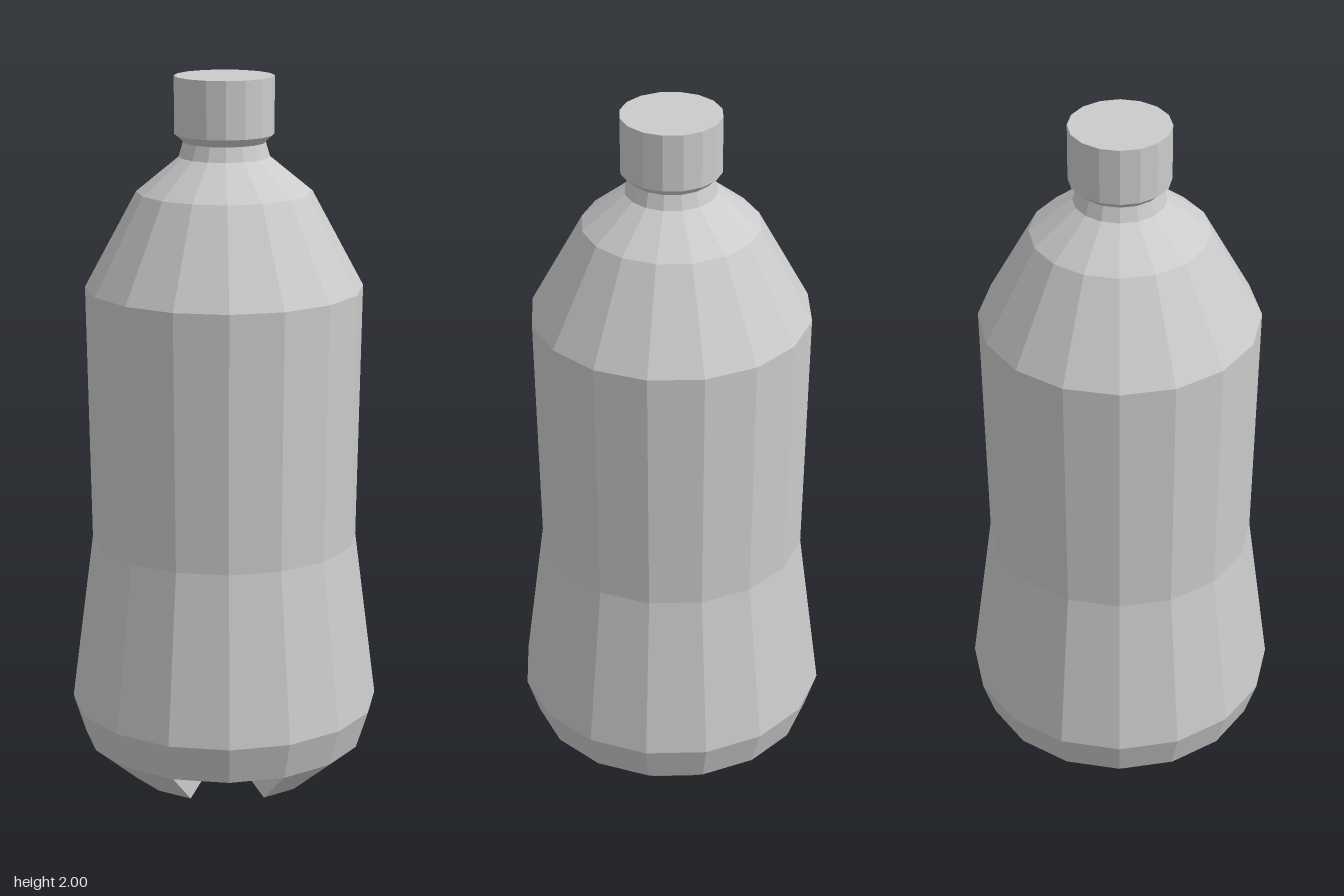
import * as THREE from 'three';

const SIDES = 16;

export function createModel() {
  const group = new THREE.Group();
  const material = new THREE.MeshStandardMaterial({ color: 0xcccccc, flatShading: true });

  const add = (name, geometry) => {
    const mesh = new THREE.Mesh(geometry, material);
    mesh.name = name;
    group.add(mesh);
  };
  const lathe = (profile) =>
    new THREE.LatheGeometry(profile.map(([r, y]) => new THREE.Vector2(r, y)), SIDES);

  // Bottle wall from the top of the feet to the shoulder
  add('body', lathe([[0.4, 0.11], [0.435, 0.22], [0.373, 0.7], [0.385, 1.42], [0.242, 1.685], [0.125, 1.78]]));

  // Tapered neck with a flared collar under the cap
  add('neck', lathe([[0.125, 1.78], [0.113, 1.82], [0.127, 1.834]]));

  // Closed screw cap with a small bevel at its lower rim
  add('cap', lathe([[0, 1.834], [0.127, 1.834], [0.137, 1.842], [0.137, 2], [0, 2]]));

  // Base: four feet, two facets wide, with notches of equal width between them
  const ring = (r, y, i) => {
    const a = (i / SIDES) * Math.PI * 2;
    return [r * Math.sin(a), y, r * Math.cos(a)];
  };
  const upper = (i) => ring(0.4, 0.11, i);
  const lower = (i) => ring(0.27, 0, i);
  const centre = [0, 0.06, 0];
  const positions = [];
  const tri = (a, b, c) => positions.push(...a, ...b, ...c);

  for (let i = 0; i < SIDES; i++) {
    const step = i % 4;
    if (step < 2) {
      // Notch roof and the foot walls on either side
      tri(centre, upper(i + 1), upper(i));
      if (step === 0) tri(lower(i), centre, upper(i));
      else tri(upper(i + 1), centre, lower(i + 1));
    } else {
      // Foot outside and underside
      tri(lower(i), lower(i + 1), upper(i + 1));
      tri(lower(i), upper(i + 1), upper(i));
      tri(centre, lower(i + 1), lower(i));
    }
  }
  const base = new THREE.BufferGeometry();
  base.setAttribute('position', new THREE.Float32BufferAttribute(positions, 3));
  base.computeVertexNormals();
  add('footedBase', base);

  return group;
}
